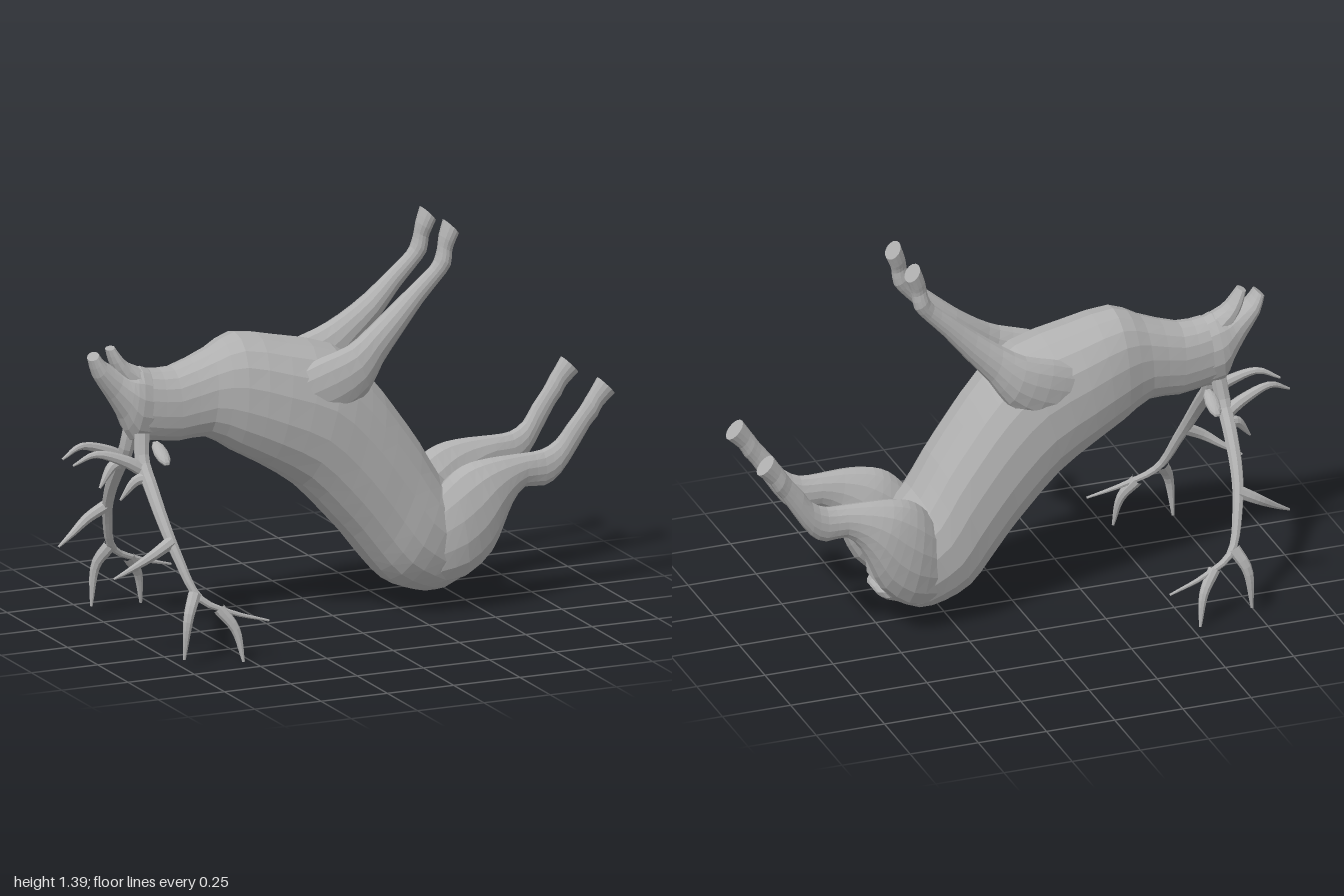
import * as THREE from 'three';

const hide = new THREE.MeshStandardMaterial({ color: 0xb0b0b0, flatShading: true });
hide.name = 'warm grey';

const spline = (pts) => new THREE.CatmullRomCurve3(pts, false, 'catmullrom', 0.5);

// Loft through sections [ax, ay, bx, by, zCentre, halfWidth]; a and b are opposite edges in the side profile.
function loft(name, sections, { side = 1, sides = 14, steps = 2, power = 1 } = {}) {
  const a = spline(sections.map((s) => new THREE.Vector3(s[0], s[1], s[4])));
  const b = spline(sections.map((s) => new THREE.Vector3(s[2], s[3], s[5])));
  const n = (sections.length - 1) * steps;
  const pos = [], idx = [], mids = [];
  const pw = (v) => Math.sign(v) * Math.abs(v) ** power;
  for (let i = 0; i <= n; i++) {
    const p = a.getPoint(i / n), q = b.getPoint(i / n);
    const mx = (p.x + q.x) / 2, my = (p.y + q.y) / 2;
    mids.push([mx, my]);
    for (let j = 0; j < sides; j++) {
      const t = (j / sides) * Math.PI * 2, c = pw(Math.cos(t)), s = pw(Math.sin(t));
      pos.push(mx + ((p.x - q.x) / 2) * c, my + ((p.y - q.y) / 2) * c, p.z * side + q.z * s);
    }
  }
  // Which way the profile runs decides the face order
  const f = sections[0], last = mids[n];
  const flip = (last[0] - mids[0][0]) * (f[1] - f[3]) - (last[1] - mids[0][1]) * (f[0] - f[2]) < 0;
  const tri = (x, y, z) => (flip ? idx.push(x, z, y) : idx.push(x, y, z));
  for (let i = 0; i < n; i++) {
    for (let j = 0; j < sides; j++) {
      const k = (j + 1) % sides, r = i * sides, u = r + sides;
      tri(r + j, r + k, u + j);
      tri(r + k, u + k, u + j);
    }
  }
  // End caps
  for (const [ring, m] of [[0, mids[0]], [n, last]]) {
    const centre = pos.length / 3, r = ring * sides;
    const z = (ring ? sections[sections.length - 1] : f)[4] * side;
    pos.push(m[0], m[1], z);
    for (let j = 0; j < sides; j++) {
      const k = (j + 1) % sides;
      if (ring) tri(centre, r + j, r + k);
      else tri(centre, r + k, r + j);
    }
  }
  const g = new THREE.BufferGeometry();
  g.setAttribute('position', new THREE.Float32BufferAttribute(pos, 3));
  g.setIndex(idx);
  g.computeVertexNormals();
  const mesh = new THREE.Mesh(g, hide);
  mesh.name = name;
  return mesh;
}

// Curved tube that narrows from r0 to r1 (bulge keeps it thick for longer)
function horn(name, points, r0, r1, side, bulge = 1.4) {
  const curve = spline(points.map(([x, y, z]) => new THREE.Vector3(x, y, z * side)));
  const seg = points.length * 3, radial = 8;
  const g = new THREE.TubeGeometry(curve, seg, 1, radial);
  const p = g.attributes.position, v = new THREE.Vector3();
  for (let i = 0; i <= seg; i++) {
    const c = curve.getPointAt(i / seg), r = r0 + (r1 - r0) * (i / seg) ** bulge;
    for (let j = 0; j <= radial; j++) {
      const k = i * (radial + 1) + j;
      v.fromBufferAttribute(p, k).sub(c).multiplyScalar(r).add(c);
      p.setXYZ(k, v.x, v.y, v.z);
    }
  }
  g.computeVertexNormals();
  const mesh = new THREE.Mesh(g, hide);
  mesh.name = name;
  return mesh;
}

const torso = [
  [-0.70, 0.97, -0.73, 0.72, 0, 0.08], [-0.61, 0.965, -0.60, 0.70, 0, 0.09],
  [-0.47, 1.015, -0.49, 0.705, 0, 0.11], [-0.37, 1.06, -0.39, 0.645, 0, 0.145],
  [-0.20, 1.03, -0.275, 0.58, 0, 0.175], [-0.01, 0.98, -0.15, 0.495, 0, 0.19],
  [0.11, 0.88, -0.04, 0.38, 0, 0.19], [0.21, 0.75, 0.04, 0.29, 0, 0.19],
  [0.30, 0.62, 0.11, 0.20, 0, 0.19], [0.37, 0.50, 0.18, 0.125, 0, 0.195],
  [0.46, 0.40, 0.27, 0.08, 0, 0.18], [0.515, 0.28, 0.36, 0.07, 0, 0.15],
  [0.52, 0.19, 0.45, 0.105, 0, 0.08],
];
const skull = [
  [-0.66, 0.95, -0.68, 0.71, 0, 0.075], [-0.73, 0.98, -0.765, 0.72, 0, 0.085],
  [-0.765, 0.97, -0.805, 0.80, 0, 0.075], [-0.80, 0.975, -0.85, 0.875, 0, 0.058],
  [-0.86, 1.01, -0.90, 0.955, 0, 0.048], [-0.888, 1.045, -0.92, 1.02, 0, 0.036],
];
const jaw = [
  [-0.70, 0.965, -0.76, 0.86, 0, 0.06], [-0.77, 0.995, -0.81, 0.94, 0, 0.048],
  [-0.80, 1.025, -0.84, 1.0, 0, 0.038], [-0.825, 1.06, -0.855, 1.05, 0, 0.026],
];
const tail = [
  [0.46, 0.20, 0.40, 0.08, 0, 0.08], [0.515, 0.18, 0.47, 0.105, 0, 0.07],
  [0.525, 0.16, 0.50, 0.125, 0, 0.045],
];
const frontLeg = [
  [-0.20, 0.93, -0.13, 0.72, 0.12, 0.05], [-0.10, 0.97, -0.02, 0.76, 0.128, 0.06],
  [0.0, 1.0, 0.07, 0.83, 0.13, 0.056], [0.08, 1.045, 0.13, 0.92, 0.113, 0.048],
  [0.17, 1.11, 0.21, 1.015, 0.1, 0.042], [0.26, 1.185, 0.29, 1.115, 0.1, 0.03],
  [0.325, 1.24, 0.355, 1.185, 0.1, 0.026], [0.345, 1.275, 0.395, 1.235, 0.1, 0.032],
  [0.353, 1.31, 0.403, 1.285, 0.098, 0.028], [0.36, 1.345, 0.41, 1.31, 0.096, 0.036],
  [0.378, 1.397, 0.425, 1.345, 0.095, 0.045],
];
const hindLeg = [
  [0.32, 0.42, 0.34, 0.11, 0.11, 0.07], [0.38, 0.49, 0.44, 0.13, 0.125, 0.085],
  [0.43, 0.525, 0.53, 0.205, 0.13, 0.085], [0.49, 0.54, 0.575, 0.30, 0.135, 0.074],
  [0.57, 0.545, 0.61, 0.375, 0.135, 0.056], [0.66, 0.545, 0.66, 0.425, 0.13, 0.042],
  [0.73, 0.55, 0.735, 0.42, 0.13, 0.036], [0.785, 0.58, 0.79, 0.455, 0.135, 0.034],
  [0.82, 0.63, 0.85, 0.54, 0.143, 0.028], [0.865, 0.685, 0.90, 0.62, 0.147, 0.026],
  [0.888, 0.72, 0.925, 0.65, 0.15, 0.031], [0.905, 0.745, 0.945, 0.685, 0.15, 0.029],
  [0.933, 0.787, 0.99, 0.727, 0.15, 0.037],
];

// Antler branches: [name, path, start radius, tip radius]
const antler = [
  ['antlerBeam', [[-0.74, 0.75, 0.045], [-0.75, 0.66, 0.07], [-0.748, 0.58, 0.14], [-0.74, 0.48, 0.22],
    [-0.72, 0.38, 0.285], [-0.67, 0.24, 0.355], [-0.56, 0.18, 0.385], [-0.425, 0.14, 0.405]], 0.028, 0.004],
  ['browTine', [[-0.75, 0.63, 0.085], [-0.82, 0.67, 0.075], [-0.92, 0.70, 0.06], [-1.0, 0.665, 0.045]], 0.024, 0.004],
  ['secondTine', [[-0.75, 0.61, 0.11], [-0.79, 0.60, 0.10], [-0.84, 0.535, 0.085]], 0.022, 0.004],
  ['middleTine', [[-0.728, 0.42, 0.265], [-0.80, 0.38, 0.27], [-0.87, 0.335, 0.25], [-0.93, 0.30, 0.23]], 0.023, 0.004],
  ['lowerTine', [[-0.68, 0.25, 0.35], [-0.72, 0.17, 0.385], [-0.735, 0.03, 0.385]], 0.023, 0.005],
  ['endTine', [[-0.60, 0.195, 0.375], [-0.55, 0.12, 0.405], [-0.53, 0.01, 0.425]], 0.022, 0.005],
];

export function createModel() {
  const model = new THREE.Group();
  model.name = 'stag';
  model.add(
    loft('torso', torso, { sides: 18, power: 0.9 }),
    loft('skull', skull),
    loft('lowerJaw', jaw, { sides: 10 }),
    loft('tail', tail, { sides: 10 }),
  );
  for (const side of [1, -1]) {
    model.add(loft('frontLeg', frontLeg, { side }), loft('hindLeg', hindLeg, { side }));
    // Ear: a flat leaf held out to the side
    const ear = new THREE.Mesh(new THREE.SphereGeometry(1, 10, 8), hide);
    ear.name = 'ear';
    ear.scale.set(0.026, 0.018, 0.062);
    ear.position.set(-0.695, 0.69, 0.105 * side);
    ear.rotation.x = 0.5 * side;
    model.add(ear);
    const horns = new THREE.Group();
    horns.name = side > 0 ? 'leftAntler' : 'rightAntler';
    for (const [name, path, r0, r1] of antler) horns.add(horn(name, path, r0, r1, side));
    model.add(horns);
  }
  return model;
}
